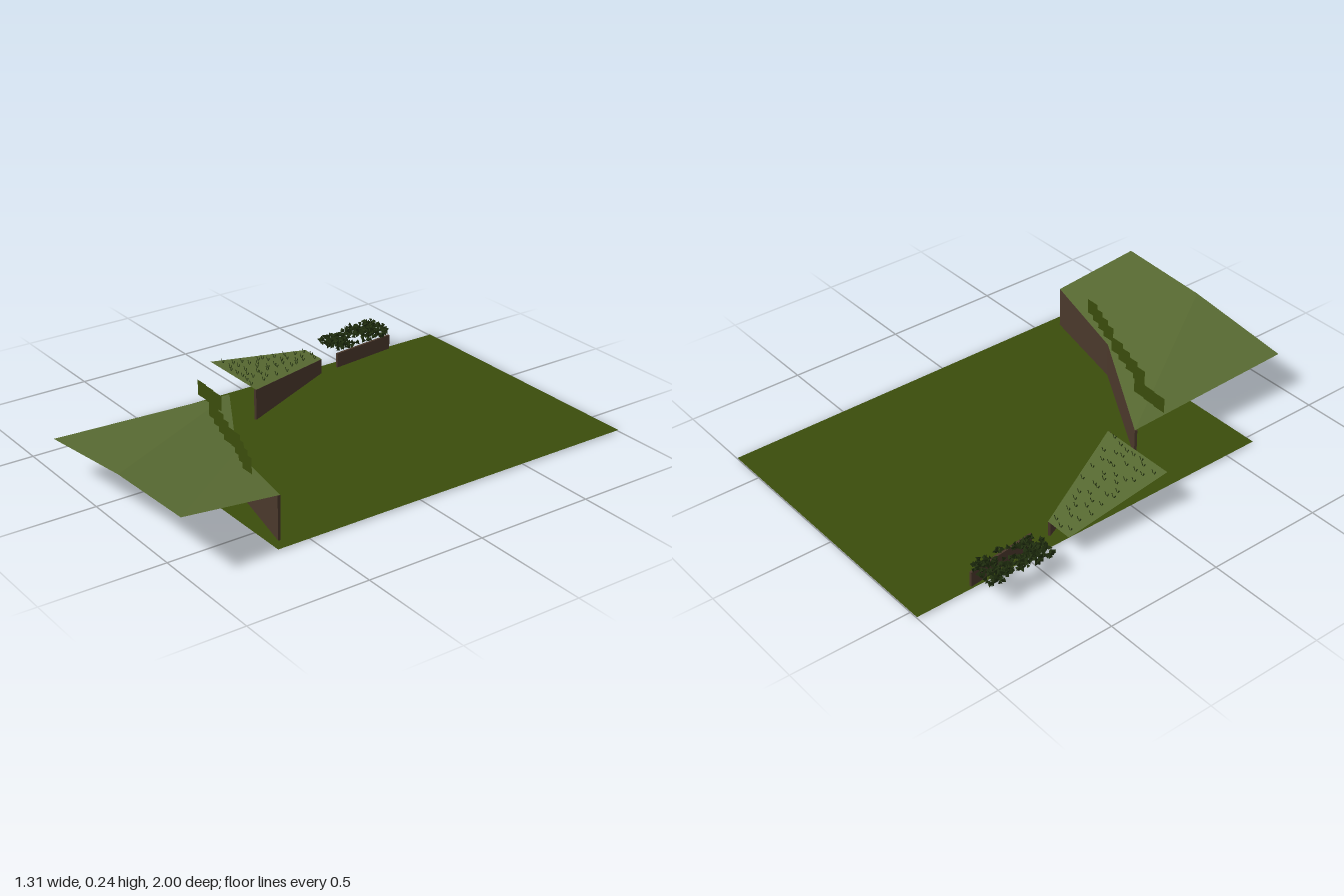
import * as THREE from 'three';
import { mergeGeometries } from 'three/addons/utils/BufferGeometryUtils.js';

const mat = (name, hex) => {
  const m = new THREE.MeshStandardMaterial({ color: hex, side: THREE.DoubleSide });
  m.name = name;
  return m;
};

let seed = 11;
const rand = (a = 0, b = 1) => {
  seed = (seed * 16807) % 2147483647;
  return a + (b - a) * (seed / 2147483647);
};

// Sloped sheet between a back edge and a front edge, facing up
function sheet(back, front) {
  const tri = [];
  for (let i = 0; i < back.length - 1; i++) {
    const [a, b, c, d] = [back[i], back[i + 1], front[i], front[i + 1]];
    tri.push(...a, ...c, ...d, ...a, ...d, ...b);
  }
  const g = new THREE.BufferGeometry();
  g.setAttribute('position', new THREE.Float32BufferAttribute(tri, 3));
  g.computeVertexNormals();
  return g;
}

// Retaining wall following the points [x, top, z], thickened towards the bank
function wall(points, thick = 0.01) {
  const parts = [];
  for (let i = 0; i < points.length - 1; i++) {
    const [a, b] = [points[i], points[i + 1]];
    const dx = b[0] - a[0], dz = b[2] - a[2], len = Math.hypot(dx, dz);
    const nx = -dz / len, nz = dx / len;
    const g = new THREE.BoxGeometry(1, 1, 1);
    const p = g.attributes.position;
    for (let k = 0; k < p.count; k++) {
      const e = p.getX(k) > 0 ? b : a;
      const off = p.getZ(k) > 0 ? thick : 0;
      p.setXYZ(k, e[0] + nx * off, p.getY(k) > 0 ? e[1] - 0.001 : 0, e[2] + nz * off);
    }
    g.computeVertexNormals();
    parts.push(g);
  }
  return mergeGeometries(parts);
}

export function createModel() {
  const group = new THREE.Group();
  const grass = mat('grass', 0x3b4d0c);
  const bank = mat('bank', 0x586a32);
  const earth = mat('earth', 0x4a382b);
  const foliage = mat('foliage', 0x1f2d0e);
  const add = (name, geo, material) => {
    const m = new THREE.Mesh(geo, material);
    m.name = name;
    group.add(m);
    return m;
  };

  // Flat lawn
  const lawn = new THREE.PlaneGeometry(1.195, 1.64).rotateX(-Math.PI / 2);
  add('lawn', lawn.translate(0.0575, 0.005, -0.18), grass);

  // Large front bank and its wall
  const bigEdge = [[-0.31, 0.125, 0.215], [0.18, 0.155, 0.5], [0.605, 0.186, 0.595]];
  add('frontBank', sheet(bigEdge, [[-0.31, 0.152, 1], [0.18, 0.209, 1], [0.605, 0.226, 1]]), bank);
  add('frontWall', wall(bigEdge), earth);

  // Side bank and its wall
  const slope = (z) => 0.07 + (z + 0.36) * 0.068 / 0.48;
  add('sideBank', sheet(
    [[-0.6, 0.07, -0.36], [-0.48, 0.07, -0.36]],
    [[-0.6, 0.138, 0.12], [-0.26, 0.138, 0.12]]), bank);
  add('sideWall', wall([[-0.48, 0.07, -0.36], [-0.26, 0.138, 0.12]]), earth);

  // Low wall under the shrub
  add('shrubWall', wall([[-0.522, 0.07, -0.755], [-0.488, 0.07, -0.45]]), earth);

  // Stepped upright panels: [first x, panel width, count, bottom, top, first z, z step]
  const runs = [
    [-0.325, 0.0617, 3, 0.155, 0.22, 0.352, 0.004],
    [-0.135, 0.0688, 4, 0.155, 0.22, 0.42, 0.0217],
    [0.16, 0.06, 4, 0.175, 0.24, 0.51, 0.0227],
  ];
  for (const [x, w, n, y0, y1, z, dz] of runs) {
    for (let i = 0; i < n; i++) {
      const g = new THREE.PlaneGeometry(w, y1 - y0);
      add('hedgePanel', g.translate(x + w * (i + 0.5), (y0 + y1) / 2, z + dz * i), grass);
    }
  }

  // Small two-bladed tufts on the side bank
  const blades = [];
  for (let r = 0; r < 9; r++) {
    const z0 = -0.33 + r * 0.053;
    const right = -0.48 + (z0 + 0.36) * 0.458;
    const n = 3 + Math.floor(r / 2);
    for (let i = 0; i < n; i++) {
      const x = -0.58 + (right - 0.02 + 0.58) * (i + rand(0.2, 0.8)) / n;
      const z = Math.min(0.115, z0 + rand(-0.018, 0.018));
      for (const s of [-1, 1]) {
        const y = slope(z) - 0.001;
        const pts = [[0, 0], [0.004 * s, 0], [0.013 * s, 0.015], [0.008 * s, 0.018]];
        const shape = new THREE.Shape(pts.map(([px, py]) => new THREE.Vector2(px, py)));
        blades.push(new THREE.ShapeGeometry(shape).translate(x, y, z));
      }
    }
  }
  add('grassTufts', mergeGeometries(blades), foliage);

  // Leafy shrub: loose leaf clumps with a gap in the middle
  const leaves = [];
  for (let i = 0; i < 420; i++) {
    const x = rand(-0.645, -0.515), z = rand(-0.75, -0.455);
    if (Math.hypot((x + 0.55) / 0.03, (z + 0.6) / 0.06) < 1) continue;
    const peak = z < -0.58 ? 0.11 : 0.092;
    const g = new THREE.TetrahedronGeometry(rand(0.009, 0.014));
    g.rotateX(rand(0, 6)).rotateY(rand(0, 6));
    leaves.push(g.translate(x, rand(0.072, peak), z));
  }
  add('shrub', mergeGeometries(leaves), foliage);

  return group;
}
